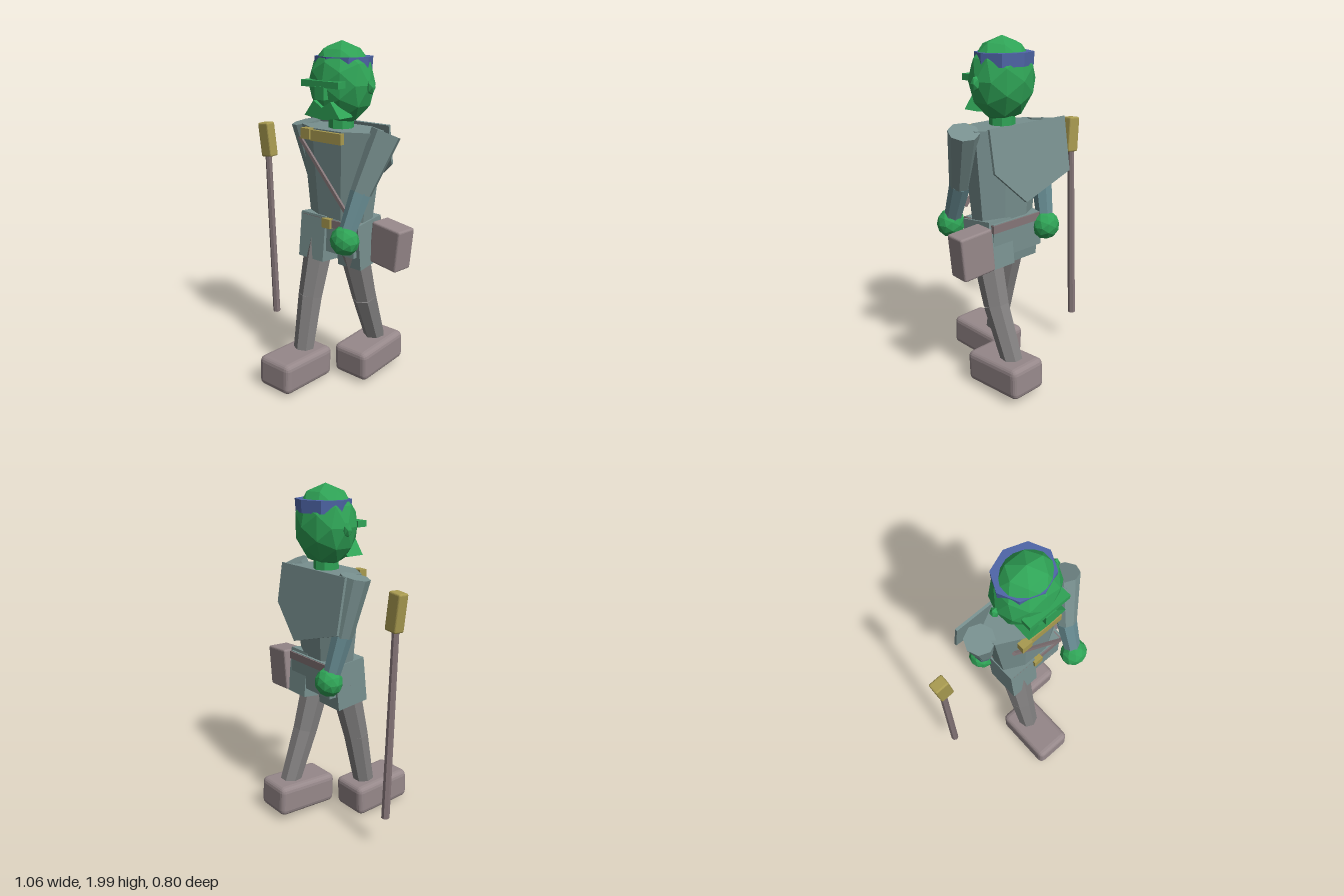
import * as THREE from 'three';
import { RoundedBoxGeometry } from 'three/addons/geometries/RoundedBoxGeometry.js';

const mat = (color) => new THREE.MeshStandardMaterial({ color, flatShading: true });
const MATS = {
  skin: mat(0x2fa356), coat: mat(0x78908f), sleeve: mat(0x668a90), leg: mat(0x828080),
  boot: mat(0x96888a), gold: mat(0xa89a50), strap: mat(0x857678), band: mat(0x4f66a8),
};
const V = (p) => new THREE.Vector3(...p);

export function createModel() {
  const model = new THREE.Group();

  const add = (name, geo, material, pos = [0, 0, 0], rot = [0, 0, 0], scale = [1, 1, 1]) => {
    const m = new THREE.Mesh(geo, material);
    m.name = name;
    m.position.set(...pos);
    m.rotation.set(...rot);
    m.scale.set(...scale);
    model.add(m);
    return m;
  };
  const box = (name, size, material, pos, rot) => add(name, new THREE.BoxGeometry(...size), material, pos, rot);
  const rbox = (name, size, r, material, pos, rot) =>
    add(name, new RoundedBoxGeometry(...size, 2, r), material, pos, rot);
  const ball = (name, size, material, pos, detail = 1) =>
    add(name, new THREE.IcosahedronGeometry(1, detail), material, pos, [0, 0, 0], size);
  // tapered rod running from a to b
  const limb = (name, a, b, ra, rb, sides, material) => {
    const d = V(b).sub(V(a));
    const m = add(name, new THREE.CylinderGeometry(rb, ra, d.length(), sides), material);
    m.position.copy(V(a)).addScaledVector(d, 0.5);
    m.quaternion.setFromUnitVectors(new THREE.Vector3(0, 1, 0), d.normalize());
    return m;
  };

  // Head and face
  ball('head', [0.195, 0.228, 0.168], MATS.skin, [0.105, 1.773, -0.055]);
  add('neck', new THREE.CylinderGeometry(0.07, 0.075, 0.12, 8), MATS.skin, [0.105, 1.53, -0.055]);
  box('brow', [0.26, 0.035, 0.06], MATS.skin, [0.1, 1.78, 0.095]);
  box('nose', [0.065, 0.07, 0.08], MATS.skin, [0.103, 1.733, 0.09]);
  for (const s of [-1, 1]) ball('ear', [0.025, 0.042, 0.025], MATS.skin, [0.105 + s * 0.198, 1.765, -0.06], 0);
  const muzzle = new THREE.Shape([
    [-0.125, 1.605], [-0.06, 1.69], [0, 1.655], [0.06, 1.69], [0.125, 1.605], [0, 1.59],
  ].map(([x, y]) => new THREE.Vector2(x, y)));
  add('muzzle', new THREE.ExtrudeGeometry(muzzle, { depth: 0.11, bevelEnabled: false }), MATS.skin, [0.105, 0, 0]);
  add('headband', new THREE.CylinderGeometry(0.17, 0.166, 0.07, 8), MATS.band,
    [0.105, 1.883, -0.072], [0, 0, 0], [1, 1, 0.88]);

  // Coat
  const torso = new THREE.CylinderGeometry(0.26, 0.2, 0.53, 8);
  torso.rotateY(Math.PI / 8);
  add('torso', torso, MATS.coat, [0.105, 1.265, -0.06], [0, 0, 0], [1.05, 1, 0.55]);
  const cape = new THREE.Shape([
    [0.335, 0], [0.335, -0.23], [0.13, -0.42], [-0.24, -0.31], [-0.245, 0],
  ].map(([x, y]) => new THREE.Vector2(x, y)));
  add('cape', new THREE.ExtrudeGeometry(cape, { depth: 0.015, bevelEnabled: false }), MATS.coat,
    [0, 1.55, -0.2], [0.17, 0, 0]);
  box('hips', [0.37, 0.2, 0.23], MATS.coat, [0.105, 0.92, -0.065]);
  box('shortsRight', [0.185, 0.27, 0.21], MATS.coat, [-0.005, 0.885, -0.035], [-0.1, 0, 0]);
  box('shortsLeft', [0.165, 0.27, 0.21], MATS.coat, [0.23, 0.89, -0.075], [0.12, 0, 0]);

  // Belt, chest bar and shoulder strap
  box('belt', [0.385, 0.045, 0.245], MATS.strap, [0.105, 0.995, -0.065]);
  box('beltBuckle', [0.06, 0.055, 0.04], MATS.gold, [0.103, 0.995, 0.055]);
  box('chestBar', [0.22, 0.06, 0.03], MATS.gold, [0.115, 1.493, 0.08]);
  box('chestClasp', [0.065, 0.06, 0.045], MATS.gold, [-0.022, 1.5, 0.085]);
  box('shoulderStrap', [0.54, 0.02, 0.015], MATS.strap, [0.09, 1.27, 0.075], [0, 0, -0.84]);

  // Side bag
  rbox('bag', [0.205, 0.245, 0.13], 0.012, MATS.boot, [0.412, 0.885, -0.135], [0, -0.1, -0.1]);

  // Arms, swung opposite to each other
  const arms = [
    { side: 'Left', shoulder: [0.4, 1.53, -0.075], elbow: [0.33, 1.21, 0.045], wrist: [0.31, 0.98, 0.145], hand: [0.31, 0.96, 0.155] },
    { side: 'Right', shoulder: [-0.185, 1.53, -0.08], elbow: [-0.135, 1.2, -0.13], wrist: [-0.105, 0.96, -0.19], hand: [-0.1, 0.935, -0.2] },
  ];
  for (const a of arms) {
    limb('upperArm' + a.side, a.elbow, a.shoulder, 0.06, 0.085, 8, MATS.coat);
    limb('forearm' + a.side, a.wrist, a.elbow, 0.048, 0.06, 7, MATS.sleeve);
    ball('hand' + a.side, [0.084, 0.084, 0.078], MATS.skin, a.hand);
  }

  // Striding legs and boots
  const legs = [
    { side: 'Right', hip: [-0.01, 0.88, -0.02], knee: [-0.02, 0.52, 0.065], ankle: [-0.018, 0.17, 0.135], boot: [-0.015, 0.11, 0.205], tilt: -0.035 },
    { side: 'Left', hip: [0.22, 0.88, -0.03], knee: [0.23, 0.52, -0.135], ankle: [0.225, 0.19, -0.265], boot: [0.225, 0.13, -0.2], tilt: 0.05 },
  ];
  for (const l of legs) {
    limb('thigh' + l.side, l.knee, l.hip, 0.074, 0.09, 7, MATS.leg);
    limb('shin' + l.side, l.ankle, l.knee, 0.062, 0.074, 7, MATS.leg);
    rbox('boot' + l.side, [0.24, 0.185, 0.395], 0.035, MATS.boot, l.boot, [l.tilt, 0, 0]);
  }

  // Staff with a block head
  limb('staff', [-0.48, 0.215, -0.1], [-0.48, 1.31, -0.055], 0.024, 0.02, 7, MATS.strap);
  rbox('staffHead', [0.085, 0.21, 0.065], 0.01, MATS.gold, [-0.477, 1.39, -0.05], [0.04, 0, 0.1]);

  return model;
}
